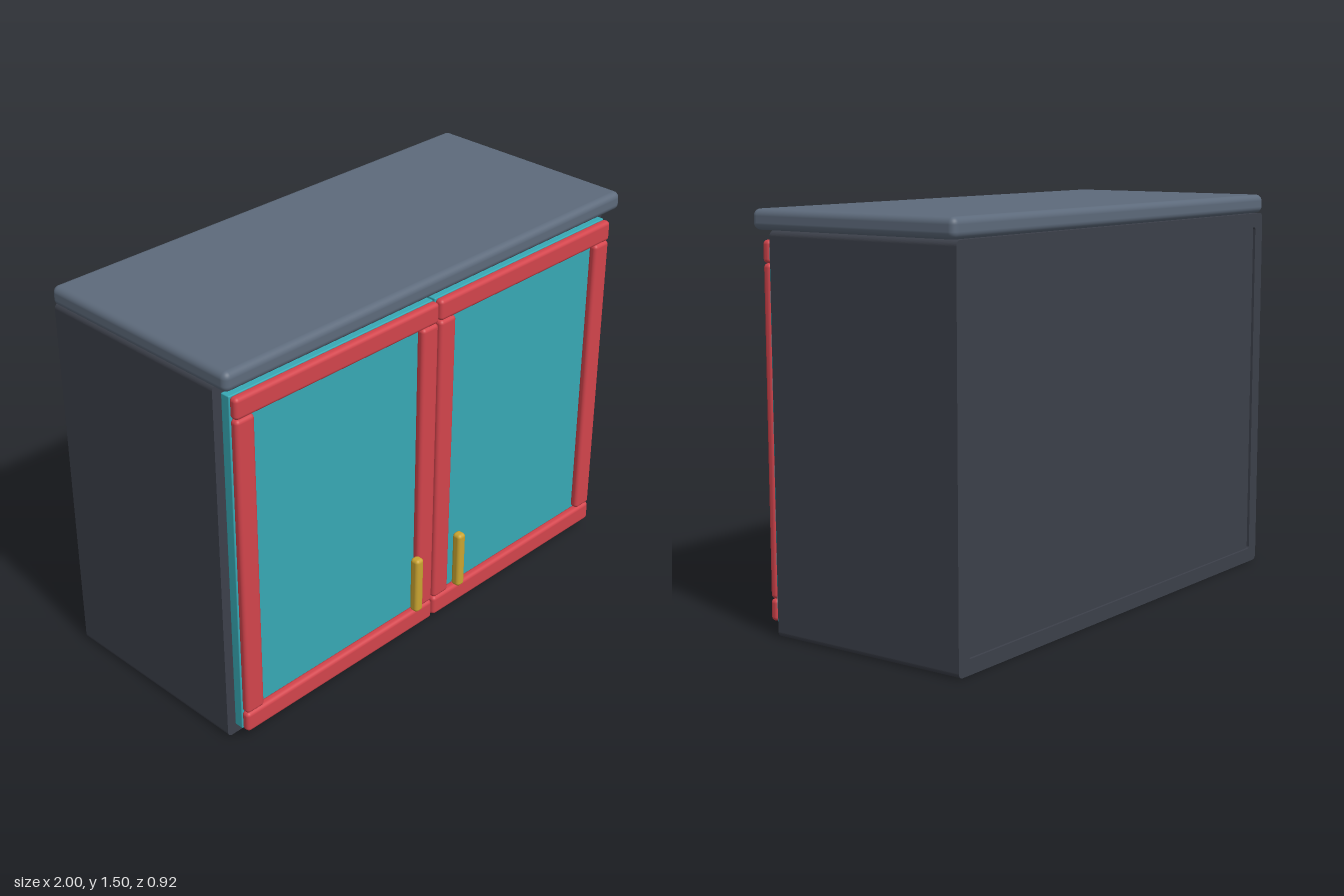
import * as THREE from 'three';
import { RoundedBoxGeometry } from 'three/addons/geometries/RoundedBoxGeometry.js';

const mat = (name, color) => {
  const m = new THREE.MeshStandardMaterial({ color });
  m.name = name;
  return m;
};

// Rounded rectangle outline centred on x = 0
function roundedRect(Type, w, y0, y1, r) {
  const s = new Type();
  const h = w / 2;
  s.moveTo(-h + r, y0);
  s.lineTo(h - r, y0);
  s.absarc(h - r, y0 + r, r, -Math.PI / 2, 0);
  s.lineTo(h, y1 - r);
  s.absarc(h - r, y1 - r, r, 0, Math.PI / 2);
  s.lineTo(-h + r, y1);
  s.absarc(-h + r, y1 - r, r, Math.PI / 2, Math.PI);
  s.lineTo(-h, y0 + r);
  s.absarc(-h + r, y0 + r, r, Math.PI, Math.PI * 1.5);
  return s;
}

export function createModel() {
  const charcoal = mat('charcoal', 0x3c404a);
  const slate = mat('slate', 0x5d6a7b);
  const red = mat('red', 0xd2444c);
  const teal = mat('teal', 0x38a9b5);
  const brass = mat('brass', 0xc9a431);

  const model = new THREE.Group();
  model.name = 'cabinet';

  // Box between min and max corners, with rounded edges when r is given
  function box(parent, name, material, [x0, x1], [y0, y1], [z0, z1], r = 0) {
    const w = x1 - x0, h = y1 - y0, d = z1 - z0;
    const geo = r ? new RoundedBoxGeometry(w, h, d, 4, r) : new THREE.BoxGeometry(w, h, d);
    const mesh = new THREE.Mesh(geo, material);
    mesh.name = name;
    mesh.position.set((x0 + x1) / 2, (y0 + y1) / 2, (z0 + z1) / 2);
    parent.add(mesh);
  }

  // Hollow carcass: sides, floor and ceiling in one ring
  const ring = roundedRect(THREE.Shape, 1.98, 0, 1.43, 0.02);
  ring.holes.push(roundedRect(THREE.Path, 1.87, 0.055, 1.375, 0.01));
  const carcass = new THREE.Mesh(
    new THREE.ExtrudeGeometry(ring, { depth: 0.81, bevelEnabled: false, curveSegments: 6 }), charcoal);
  carcass.name = 'carcass';
  carcass.position.z = -0.46;
  model.add(carcass);

  // Slightly recessed back panel
  box(model, 'backPanel', charcoal, [-0.94, 0.94], [0.05, 1.38], [-0.45, -0.42]);

  // Worktop
  box(model, 'worktop', slate, [-1, 1], [1.43, 1.503], [-0.46, 0.427], 0.025);

  // Two mirrored doors, each a panel with a four-piece frame and a handle
  for (const side of [1, -1]) {
    const door = new THREE.Group();
    door.name = side > 0 ? 'leftDoor' : 'rightDoor';
    const span = (a, b) => (side > 0 ? [a, b] : [-b, -a]);
    const frameZ = [0.386, 0.422];
    box(door, 'doorPanel', teal, span(0.005, 0.955), [0.04, 1.393], [0.35, 0.388], 0.004);
    box(door, 'bottomRail', red, span(0.004, 0.956), [0.04, 0.121], frameZ, 0.015);
    box(door, 'topRail', red, span(0.004, 0.956), [1.313, 1.394], frameZ, 0.015);
    box(door, 'innerStile', red, span(0.005, 0.086), [0.121, 1.313], frameZ, 0.015);
    box(door, 'outerStile', red, span(0.874, 0.955), [0.121, 1.313], frameZ, 0.015);
    box(door, 'handle', brass, span(0.097, 0.136), [0.145, 0.381], [0.422, 0.462], 0.014);
    model.add(door);
  }

  return model;
}
